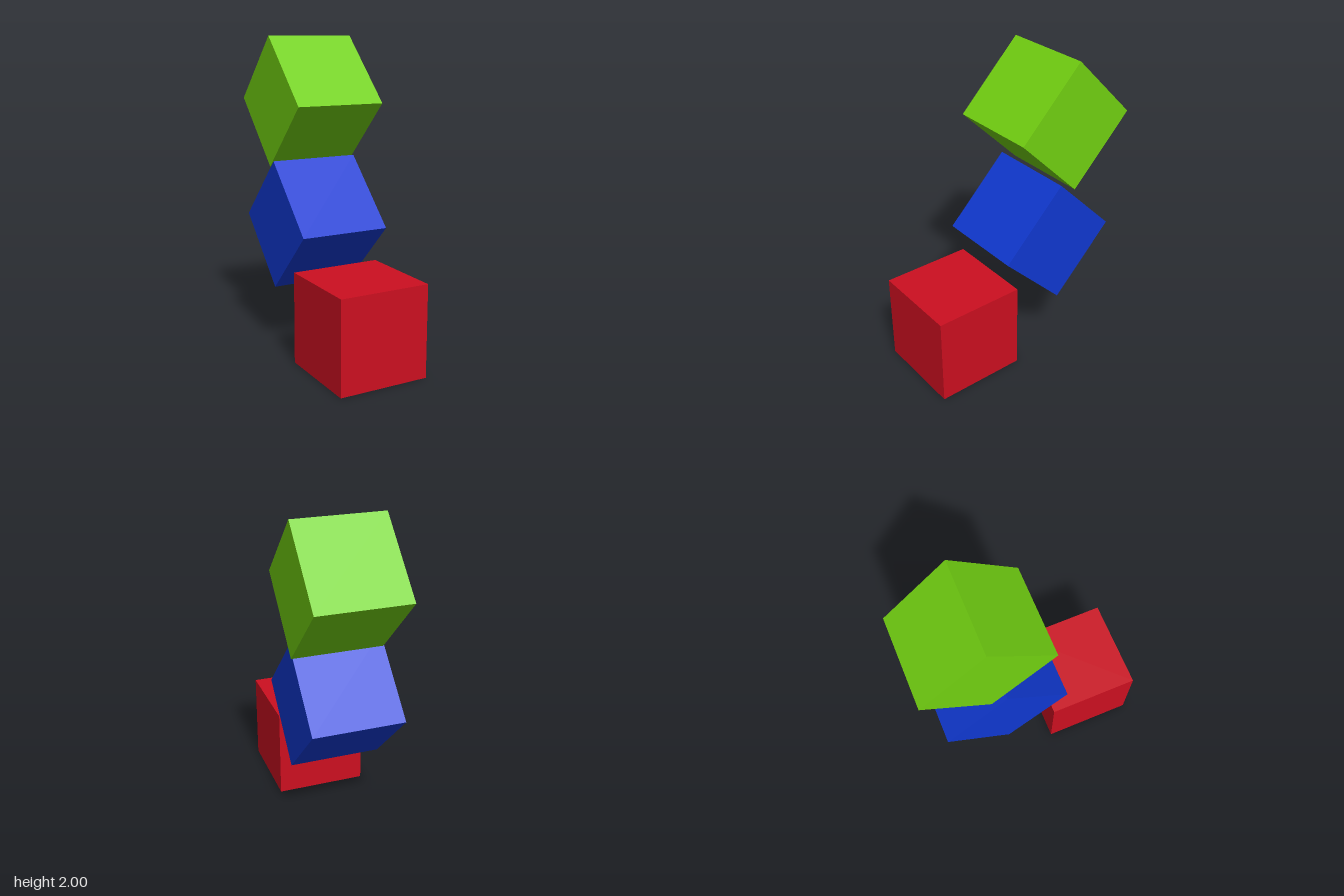
import * as THREE from 'three';

const SIZE = 0.583;

// Name, colour, centre and tilt about the x axis of each cube
const CUBES = [
  { name: 'bottomCube', color: 0xcc0f20, position: [-0.02, SIZE / 2, 0.413], tilt: 0 },
  { name: 'middleCube', color: 0x1038d0, position: [0, 0.812, -0.198], tilt: Math.PI / 4 },
  { name: 'topCube', color: 0x72d011, position: [0.02, 1.588, -0.292], tilt: Math.PI / 4 },
];

export function createModel() {
  const model = new THREE.Group();
  model.name = 'tumblingCubes';
  const geometry = new THREE.BoxGeometry(SIZE, SIZE, SIZE);

  for (const { name, color, position, tilt } of CUBES) {
    const cube = new THREE.Mesh(geometry, new THREE.MeshStandardMaterial({ color }));
    cube.name = name;
    cube.position.set(...position);
    cube.rotation.x = tilt;
    model.add(cube);
  }
  return model;
}
